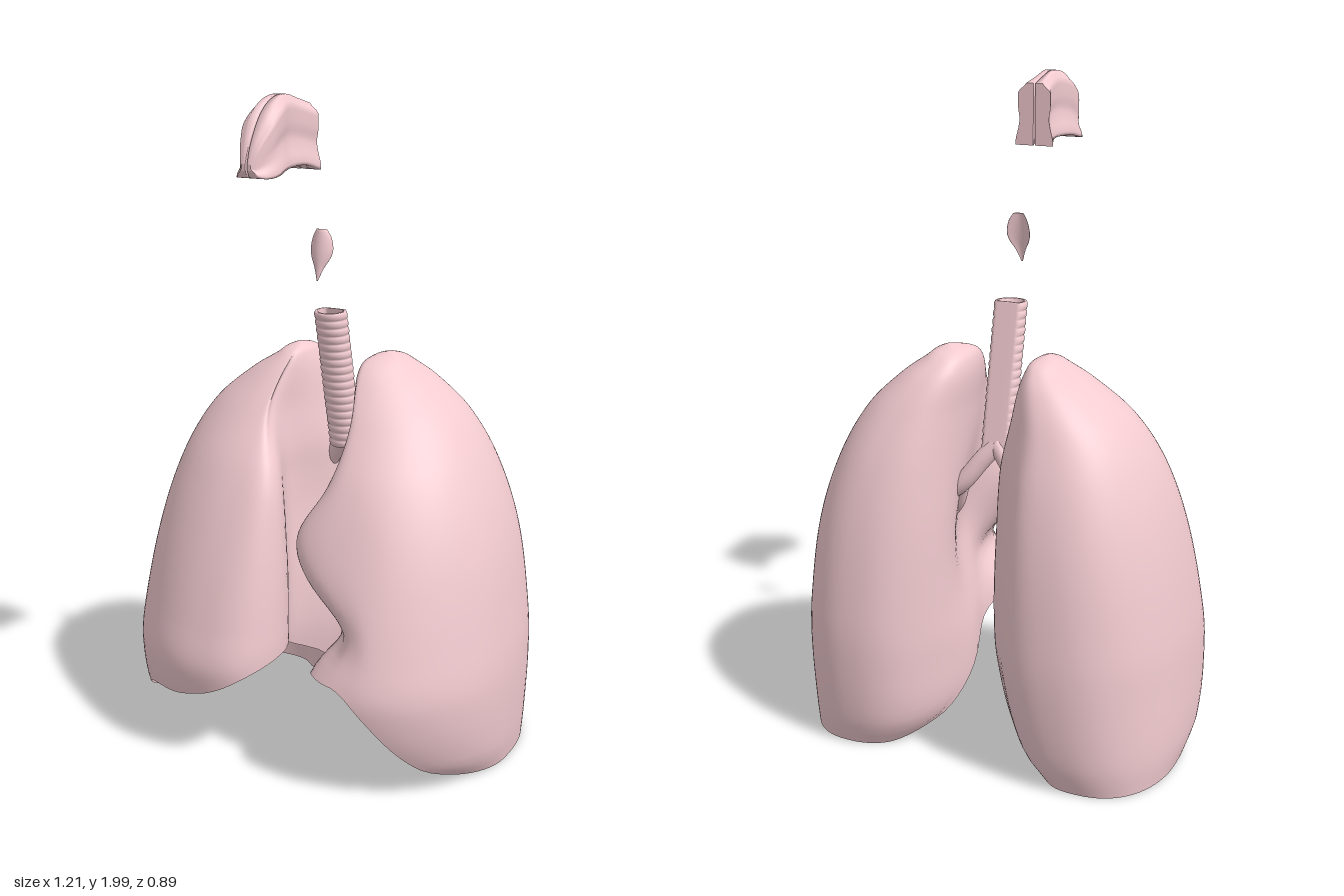
import * as THREE from 'three';

const material = new THREE.MeshStandardMaterial({ color: 0xf2cbd0, side: THREE.DoubleSide });
const V = (x, y, z) => new THREE.Vector3(x, y, z);
const { lerp, smoothstep } = THREE.MathUtils;
const bump = (v, mid, width) => Math.exp(-(((v - mid) / width) ** 2));

// Smooth lookup in rows of [key, a, b, ...] sorted by key
function lookup(rows, k) {
  const n = rows.length;
  k = Math.min(Math.max(k, rows[0][0]), rows[n - 1][0]);
  let i = 0;
  while (i < n - 2 && k > rows[i + 1][0]) i++;
  const slope = (j, c) => {
    const p = rows[Math.max(j - 1, 0)], q = rows[Math.min(j + 1, n - 1)];
    return (q[c] - p[c]) / (q[0] - p[0]);
  };
  const h = rows[i + 1][0] - rows[i][0], t = (k - rows[i][0]) / h;
  return rows[i].slice(1).map((_, j) => {
    const c = j + 1;
    return (2 * t ** 3 - 3 * t * t + 1) * rows[i][c] + (t ** 3 - 2 * t * t + t) * h * slope(i, c)
      + (3 * t * t - 2 * t ** 3) * rows[i + 1][c] + (t ** 3 - t * t) * h * slope(i + 1, c);
  });
}

// Skin closed rings of equal size, turning the faces outward
function loft(rings) {
  const n = rings[0].length, pts = rings.flat(), index = [];
  for (let i = 0; i < rings.length - 1; i++) {
    for (let j = 0; j < n; j++) {
      const a = i * n + j, b = i * n + (j + 1) % n;
      index.push(a, b, a + n, b, b + n, a + n);
    }
  }
  let volume = 0;
  for (let i = 0; i < index.length; i += 3) {
    volume += pts[index[i]].dot(V(0, 0, 0).crossVectors(pts[index[i + 1]], pts[index[i + 2]]));
  }
  if (volume < 0) index.reverse();
  const g = new THREE.BufferGeometry().setFromPoints(pts);
  g.setIndex(index);
  g.computeVertexNormals();
  return g;
}

// Repeat an end ring and close it to its middle, leaving a crisp edge
function cap(ring) {
  const mid = V(0, 0, 0);
  ring.forEach((p) => mid.addScaledVector(p, 1 / ring.length));
  return [ring.map((p) => p.clone()), ring.map(() => mid.clone())];
}

function add(group, name, geometry) {
  const mesh = new THREE.Mesh(geometry, material);
  mesh.name = name;
  group.add(mesh);
}

// Rows: height, medial x, lateral x, back z, front z
const rightRows = [
  [0.01, 0.15, 0.585, -0.39, 0.2], [0.1, 0.07, 0.605, -0.42, 0.34], [0.3, 0.01, 0.605, -0.44, 0.42],
  [0.45, 0, 0.595, -0.44, 0.4], [0.7, 0.005, 0.555, -0.415, 0.33], [0.9, 0.02, 0.495, -0.37, 0.245],
  [1.05, 0.06, 0.41, -0.31, 0.14], [1.15, 0.085, 0.295, -0.25, 0.055], [1.2, 0.105, 0.215, -0.2, 0],
  [1.22, 0.12, 0.19, -0.165, -0.04], [1.232, 0.15, 0.16, -0.11, -0.1]];
const leftRows = [
  [0.01, 0.18, 0.58, -0.39, 0.2], [0.1, 0.1, 0.595, -0.42, 0.34], [0.3, 0.075, 0.605, -0.44, 0.42],
  [0.45, 0.075, 0.595, -0.44, 0.4], [0.7, 0.075, 0.555, -0.415, 0.33], [0.9, 0.08, 0.485, -0.37, 0.245],
  [1.05, 0.08, 0.395, -0.31, 0.14], [1.15, 0.075, 0.29, -0.25, 0.055], [1.2, 0.085, 0.22, -0.2, 0],
  [1.22, 0.105, 0.195, -0.165, -0.04], [1.235, 0.15, 0.16, -0.11, -0.1]];

function lungGeometry(side) {
  const rows = side > 0 ? leftRows : rightRows, top = rows[rows.length - 1][0];
  const N = 96, M = 60, C = 20;
  const round = (v) => Math.sign(v) * Math.abs(v) ** 0.85;
  // The lower rim rises toward the front and the middle
  const rim = (a) => {
    const c = Math.cos(a), s = Math.sin(a), medial = (1 - c) / 2;
    const rise = lerp(smoothstep(s, side > 0 ? 0.1 : -0.2, 0.95), smoothstep(s, -0.9, 0.6), medial ** 2);
    const height = side > 0
      ? 0.03 + 0.33 * smoothstep(medial, 0.05, 0.55)
      : 0.02 + 0.36 * medial ** 0.8 + 0.08 * bump(c, 0.7, 0.4);
    return 0.01 + rise * height;
  };
  const point = (a, y) => {
    const [xi, xo, zb, zf] = lookup(rows, y);
    const c = Math.cos(a), s = Math.sin(a), hw = (xo - xi) / 2, size = Math.min(1, hw / 0.25);
    let x = (xi + xo) / 2 + hw * round(c);
    let z = (zb + zf) / 2 + (zf - zb) / 2 * round(s);
    x -= 0.09 * size * Math.max(0, s) ** 2;
    const medial = smoothstep(-c, 0, 0.6) * size;
    if (side > 0) {
      // Bed and notch for the heart, with a lip above
      x += 0.05 * medial * bump(z, 0.08, 0.12);
      const front = smoothstep(z, 0.02, 0.26) * smoothstep(-c, -0.4, 0.5);
      x += front * (0.09 * bump(y, 0.49, 0.1) - 0.075 * bump(y, 0.74, 0.12));
      z -= front * 0.04 * bump(y, 0.49, 0.1);
      // Hollow where the airway enters
      x += 0.08 * medial * bump(y, 0.64, 0.24) * bump(z, -0.04, 0.14);
    } else {
      x += medial * (0.095 * bump(z, 0.05, 0.125) + 0.03 * bump(z, -0.32, 0.1));
      x += 0.025 * medial * bump(y, 0.75, 0.2) * bump(z, -0.08, 0.12);
    }
    return V(side * x, y, z);
  };
  const ring = (f) => Array.from({ length: N }, (_, j) => f(j / N * Math.PI * 2));
  const rings = [];
  // Domed hollow underneath, from its middle out to the rim
  for (let i = 0; i <= C; i++) {
    const r = i / C;
    rings.push(ring((a) => {
      const p = point(a, rim(a)), q = V(side * 0.33, 0.42, -0.02);
      const h = Math.sqrt(1 - r ** 2.4);
      return V(lerp(q.x, p.x, r), lerp(p.y, q.y, h), lerp(q.z, p.z, r));
    }));
  }
  // Outer wall up to the apex
  for (let i = 0; i <= M; i++) {
    const t = Math.sin(i / M * Math.PI / 2);
    rings.push(ring((a) => point(a, lerp(rim(a), top, t))));
  }
  rings.push(cap(rings[rings.length - 1])[1]);
  return loft(rings);
}

// Windpipe: cartilage rings in front, flat smooth back
function windpipeGeometry() {
  const rings = [], steps = 144;
  for (let i = 0; i <= steps; i++) {
    const t = i / steps, y = lerp(0.92, 1.358, t), z = lerp(-0.113, -0.013, t);
    const wave = Math.abs(Math.sin(t * Math.PI * 18)) ** 0.7;
    rings.push(Array.from({ length: 40 }, (_, j) => {
      const a = j / 40 * Math.PI * 2, s = Math.sin(a);
      const r = 0.046 + 0.004 * wave * smoothstep(s, -0.7, -0.3);
      return V(r * Math.cos(a), y - 0.04 * r * s, z + Math.max(r * s, -0.028));
    }));
  }
  // Turned-in lip and inner wall at the open top
  const lip = rings[steps];
  for (const drop of [0, 0.08]) {
    rings.push(lip.map((p) => V(p.x * 0.82, p.y - drop, (p.z + 0.013) * 0.82 - 0.013 - drop * 0.23)));
  }
  return loft(rings);
}

// Thin leaf, its wings swept back
function leafGeometry() {
  const rows = [[0, 0.002], [0.25, 0.016], [0.45, 0.032], [0.62, 0.037], [0.85, 0.03], [1, 0.017]];
  const rings = [];
  for (let i = 0; i <= 20; i++) {
    const t = i / 20, [w] = lookup(rows, t), z = lerp(0.068, 0.047, t);
    rings.push(Array.from({ length: 24 }, (_, j) => {
      const a = j / 24 * Math.PI * 2, c = Math.cos(a);
      return V(w * c, lerp(1.46, 1.607, t), z - 0.016 * c * c * w / 0.036 + 0.14 * w * Math.sin(a));
    }));
  }
  return loft([cap(rings[0])[1], ...rings, cap(rings[20])[1]]);
}

// One half of the nasal cavity, lofted from back to front
function nasalGeometry(side) {
  // z, bottom, top, width at the bottom, width above
  const rows = [
    [0.152, 1.79, 1.97, 0.06, 0.052], [0.2, 1.806, 1.984, 0.044, 0.036], [0.27, 1.808, 2, 0.042, 0.032],
    [0.33, 1.804, 1.987, 0.053, 0.045], [0.38, 1.793, 1.952, 0.058, 0.048], [0.42, 1.79, 1.897, 0.046, 0.034],
    [0.44, 1.797, 1.855, 0.03, 0.022], [0.447, 1.812, 1.83, 0.018, 0.014]];
  const rings = [];
  for (let i = 0; i <= 36; i++) {
    const z = lerp(0.152, 0.447, i / 36), [yb, yt, wb, wt] = lookup(rows, z);
    const ring = [];
    // Outer wall with shallow grooves, then the flat inner wall
    for (let j = 0; j <= 20; j++) {
      const v = j / 20;
      const groove = 0.005 * bump(v, 0.42, 0.12) * smoothstep(0.44 - z, 0, 0.1);
      let w = lerp(wb, wt, smoothstep(v, 0.05, 0.3)) - groove;
      w *= 1 - 0.5 * smoothstep(v, 0.82, 1) ** 1.5;
      ring.push(V(side * Math.max(w, 0.008), lerp(yb, yt, v), z));
    }
    for (let j = 0; j <= 8; j++) ring.push(V(side * 0.003, lerp(yt, yb, j / 8), z));
    rings.push(ring);
  }
  const back = cap(rings[0]).reverse();
  return loft([...back, ...rings, ...cap(rings[36])]);
}

export function createModel() {
  const group = new THREE.Group();
  group.name = 'respiratorySystem';
  for (const [side, label] of [[1, 'left'], [-1, 'right']]) {
    add(group, label + 'Lung', lungGeometry(side));
    add(group, label + 'NasalCavity', nasalGeometry(side));
    // Main bronchus and its smaller branches into the lung
    const paths = [
      [0.028, V(0, 0.945, -0.112), V(0.045, 0.89, -0.13), V(0.1, 0.82, -0.145), V(0.19, 0.75, -0.14)],
      [0.012, V(0.08, 0.84, -0.14), V(0.12, 0.83, -0.13), V(0.2, 0.86, -0.11)],
      [0.012, V(0.09, 0.82, -0.14), V(0.12, 0.74, -0.12), V(0.19, 0.66, -0.08)]];
    paths.forEach(([r, ...pts], i) => {
      const curve = new THREE.CatmullRomCurve3(pts.map((p) => V(side * p.x, p.y, p.z)));
      add(group, label + (i ? 'BronchusBranch' : 'Bronchus'), new THREE.TubeGeometry(curve, 24, r, 20));
    });
  }
  add(group, 'windpipe', windpipeGeometry());
  add(group, 'epiglottis', leafGeometry());
  return group;
}
